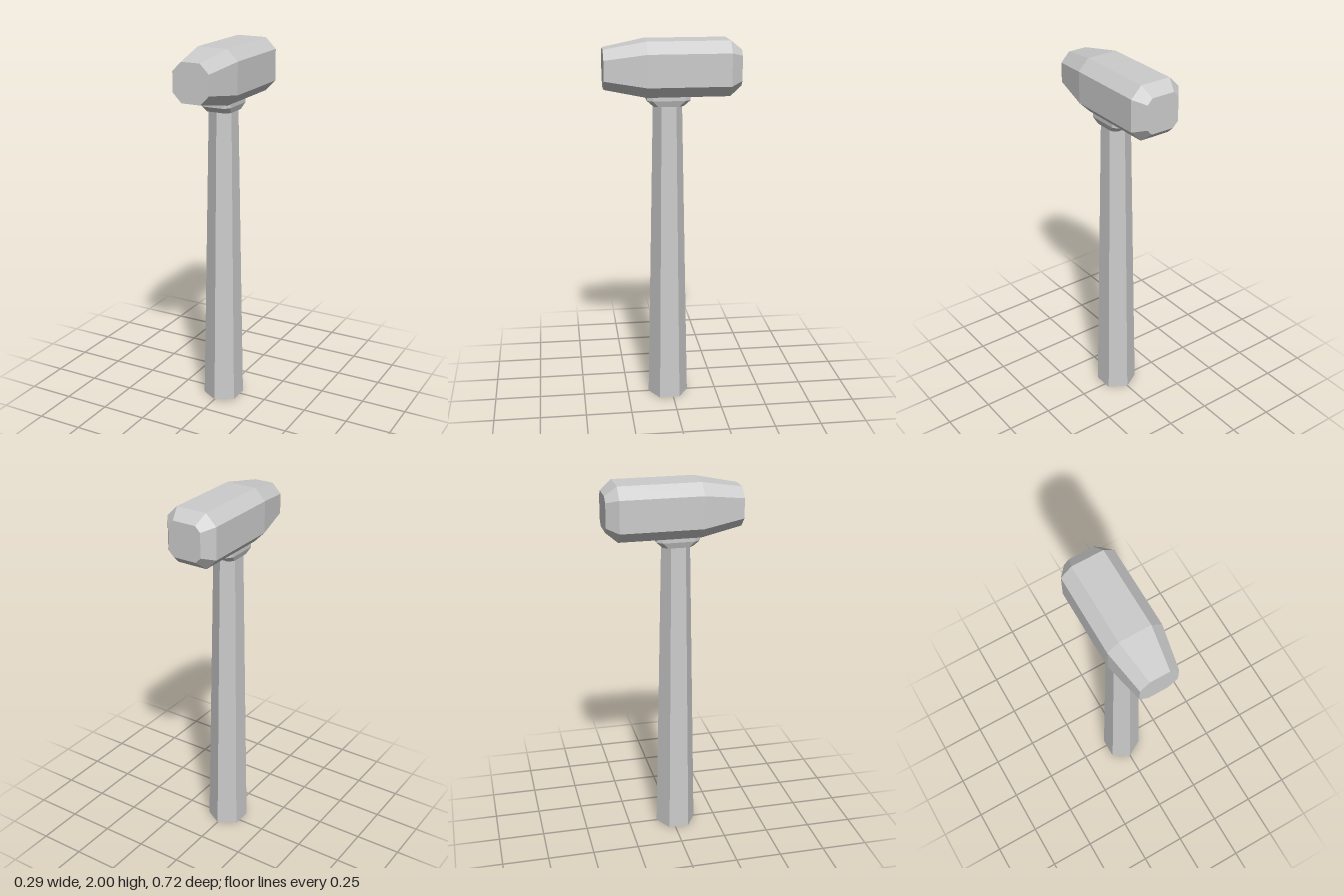
import * as THREE from 'three';

const material = new THREE.MeshStandardMaterial({ color: 0xcccccc, flatShading: true });

// Loft of chamfered rectangles along +z; each ring is [z, halfX, halfY, flatX, flatY]
function chamferedLoft(rings) {
  const corners = rings.map(([z, hx, hy, fx, fy]) => [
    [hx, -fy, z], [hx, fy, z], [fx, hy, z], [-fx, hy, z],
    [-hx, fy, z], [-hx, -fy, z], [-fx, -hy, z], [fx, -hy, z],
  ]);
  const positions = [];
  const tri = (a, b, c) => positions.push(...a, ...b, ...c);
  for (let r = 0; r < corners.length - 1; r++) {
    const lower = corners[r], upper = corners[r + 1];
    for (let i = 0; i < 8; i++) {
      const j = (i + 1) % 8;
      tri(lower[i], lower[j], upper[j]);
      tri(lower[i], upper[j], upper[i]);
    }
  }
  // End caps
  const first = corners[0], last = corners[corners.length - 1];
  for (let i = 1; i < 7; i++) {
    tri(first[0], first[i + 1], first[i]);
    tri(last[0], last[i], last[i + 1]);
  }
  const geometry = new THREE.BufferGeometry();
  geometry.setAttribute('position', new THREE.Float32BufferAttribute(positions, 3));
  geometry.computeVertexNormals();
  return geometry;
}

export function createModel() {
  const model = new THREE.Group();
  model.name = 'hammer';
  const add = (name, geometry, y, z) => {
    const mesh = new THREE.Mesh(geometry, material);
    mesh.name = name;
    mesh.position.set(0, y, z);
    model.add(mesh);
  };

  // Tapered six-sided handle
  add('handle', new THREE.CylinderGeometry(0.078, 0.111, 1.66, 6), 0.83, 0.021);

  // Collar flaring out from the handle to the head
  const collar = chamferedLoft([
    [0, 0.073, 0.08, 0.053, 0.055],
    [0.032, 0.085, 0.115, 0.062, 0.085],
    [0.07, 0.085, 0.115, 0.062, 0.085],
  ]).rotateX(-Math.PI / 2);
  add('collar', collar, 1.66, 0.021);

  // Octagonal head: bevelled back face, straight body, tapered front
  add('head', chamferedLoft([
    [-0.36, 0.094, 0.094, 0.065, 0.065],
    [-0.298, 0.144, 0.144, 0.085, 0.085],
    [0.138, 0.144, 0.144, 0.085, 0.085],
    [0.36, 0.103, 0.103, 0.053, 0.053],
  ]), 1.856, 0);

  return model;
}
